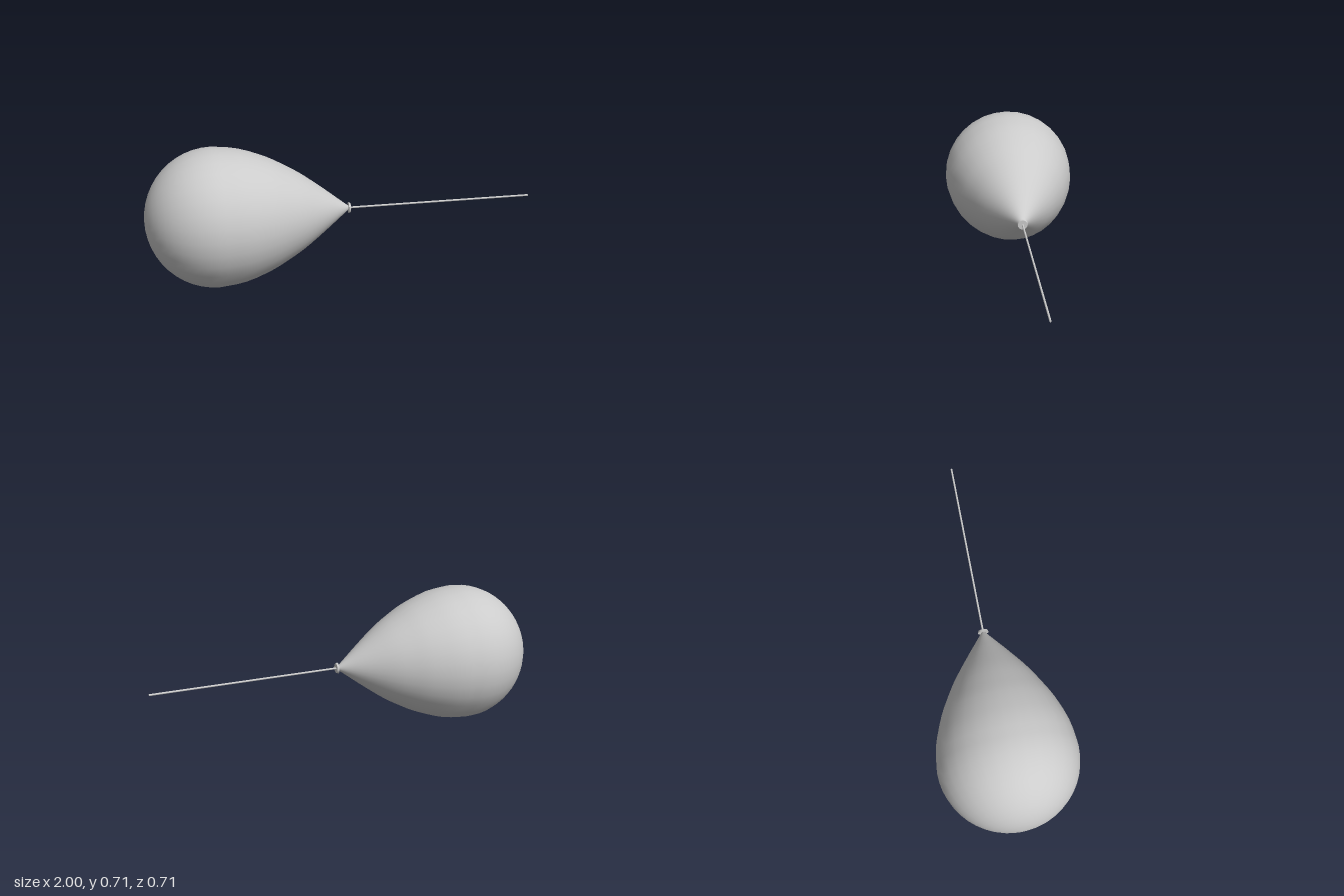
import * as THREE from 'three';

const AXIS_Y = 0.354;

export function createModel() {
  const group = new THREE.Group();
  group.name = 'balloonOnString';
  const material = new THREE.MeshStandardMaterial({ color: 0xcccccc });

  // Every part is round about a horizontal axis along x
  const add = (name, geometry) => {
    geometry.rotateZ(-Math.PI / 2);
    const mesh = new THREE.Mesh(geometry, material);
    mesh.name = name;
    mesh.position.y = AXIS_Y;
    group.add(mesh);
  };

  // Balloon body: round crown, then a taper to the neck (radius, x)
  const profile = [];
  for (let i = 0; i <= 12; i++) {
    const a = (i / 12) * Math.PI / 2;
    profile.push(new THREE.Vector2(i ? 0.354 * Math.sin(a) : 0, -0.65 - 0.35 * Math.cos(a)));
  }
  const taper = new THREE.SplineCurve([
    [0.354, -0.65], [0.338, -0.52], [0.293, -0.39], [0.247, -0.3],
    [0.19, -0.205], [0.105, -0.09], [0.054, -0.025], [0.008, 0.034],
  ].map(([r, x]) => new THREE.Vector2(r, x)));
  profile.push(...taper.getPoints(20).slice(1));
  add('balloonBody', new THREE.LatheGeometry(profile, 32));

  // Tied lip at the neck
  const lip = new THREE.CylinderGeometry(0.025, 0.028, 0.01, 24);
  lip.translate(0, 0.036, 0);
  add('knot', lip);

  // Straight string
  const string = new THREE.CylinderGeometry(0.005, 0.005, 0.97, 12);
  string.translate(0, 0.515, 0);
  add('string', string);

  return group;
}
